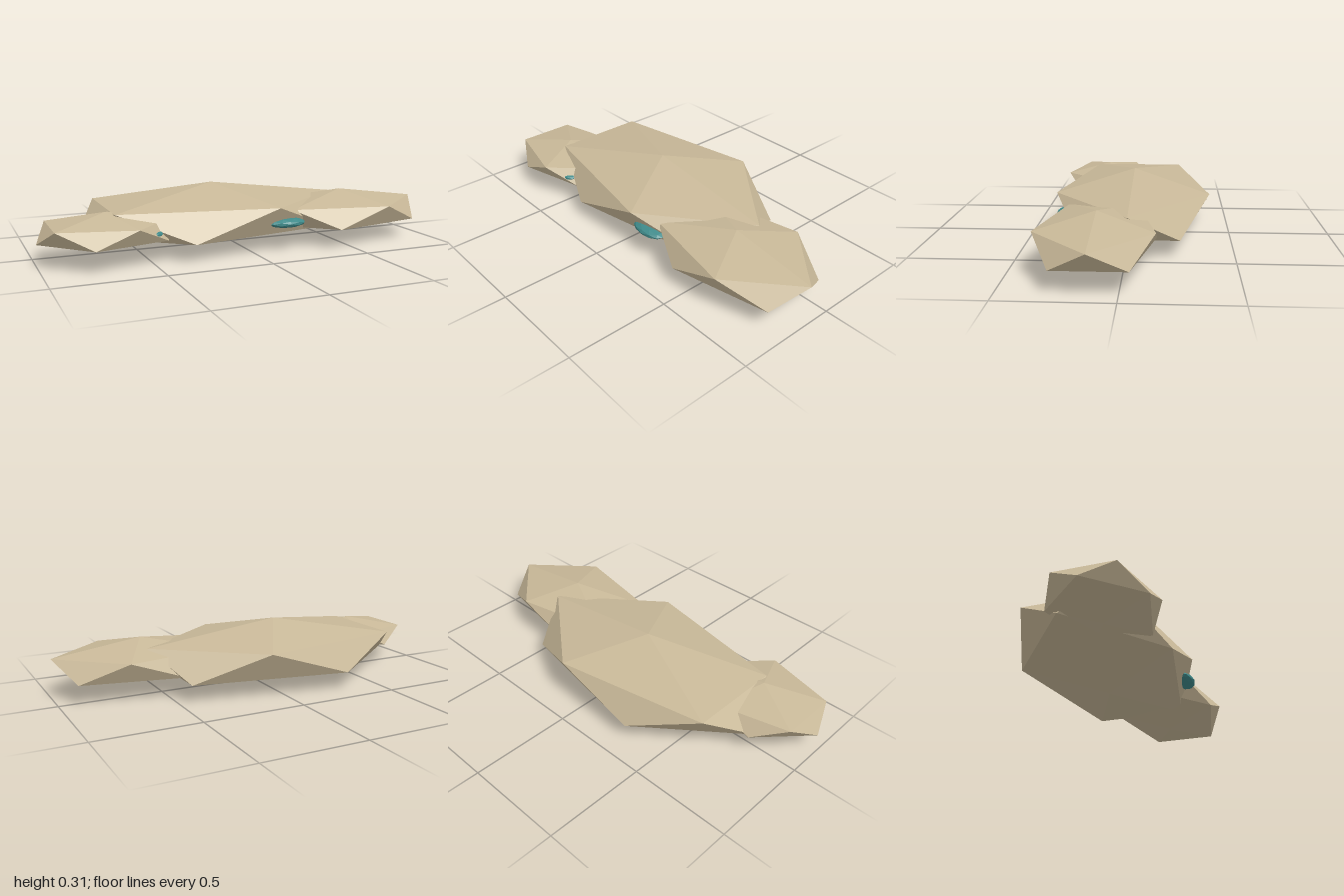
import * as THREE from 'three';

// Rock: an icosahedron standing on one corner, with two staggered rings of five
function rockGeometry() {
  const p = [0, 1, 0];
  const h = 1 / Math.sqrt(5), r = 2 * h;
  for (let ring = 0; ring < 2; ring++) {
    for (let i = 0; i < 5; i++) {
      const a = (i + ring * 0.5) * Math.PI * 0.4;
      p.push(r * Math.cos(a), ring ? -h : h, r * Math.sin(a));
    }
  }
  p.push(0, -1, 0);
  const index = [];
  for (let i = 0; i < 5; i++) {
    const u = 1 + i, un = 1 + (i + 1) % 5, l = 6 + i, ln = 6 + (i + 1) % 5;
    index.push(0, un, u, u, un, l, un, ln, l, 11, l, ln);
  }
  const g = new THREE.BufferGeometry();
  g.setAttribute('position', new THREE.Float32BufferAttribute(p, 3));
  g.setIndex(index);
  const flat = g.toNonIndexed();
  flat.computeVertexNormals();
  return flat;
}

export function createModel() {
  const group = new THREE.Group();
  group.name = 'rockCluster';

  const stone = new THREE.MeshStandardMaterial({ color: 0xc8b898, flatShading: true });
  stone.name = 'sandStone';
  const teal = new THREE.MeshStandardMaterial({ color: 0x3f8a8a, flatShading: true });
  teal.name = 'tealCrystal';

  const add = (name, geometry, material, position, radii) => {
    const g = geometry.clone().scale(...radii);
    g.computeVertexNormals();
    const mesh = new THREE.Mesh(g, material);
    mesh.name = name;
    mesh.position.set(...position);
    group.add(mesh);
  };

  // Three flat overlapping boulders
  const rock = rockGeometry();
  add('mainRock', rock, stone, [-0.107, 0.156, -0.014], [0.76, 0.155, 0.443]);
  add('leftRock', rock, stone, [0.56, 0.146, 0.121], [0.487, 0.109, 0.31]);
  add('rightRock', rock, stone, [-0.686, 0.145, 0.16], [0.351, 0.087, 0.272]);

  // Small teal stones set into the front
  const pebble = new THREE.IcosahedronGeometry(1, 1);
  add('frontPebble', pebble, teal, [0.165, 0.14, 0.303], [0.098, 0.024, 0.052]);
  add('sidePebble', pebble, teal, [-0.51, 0.14, 0.285], [0.056, 0.017, 0.056]);

  return group;
}
